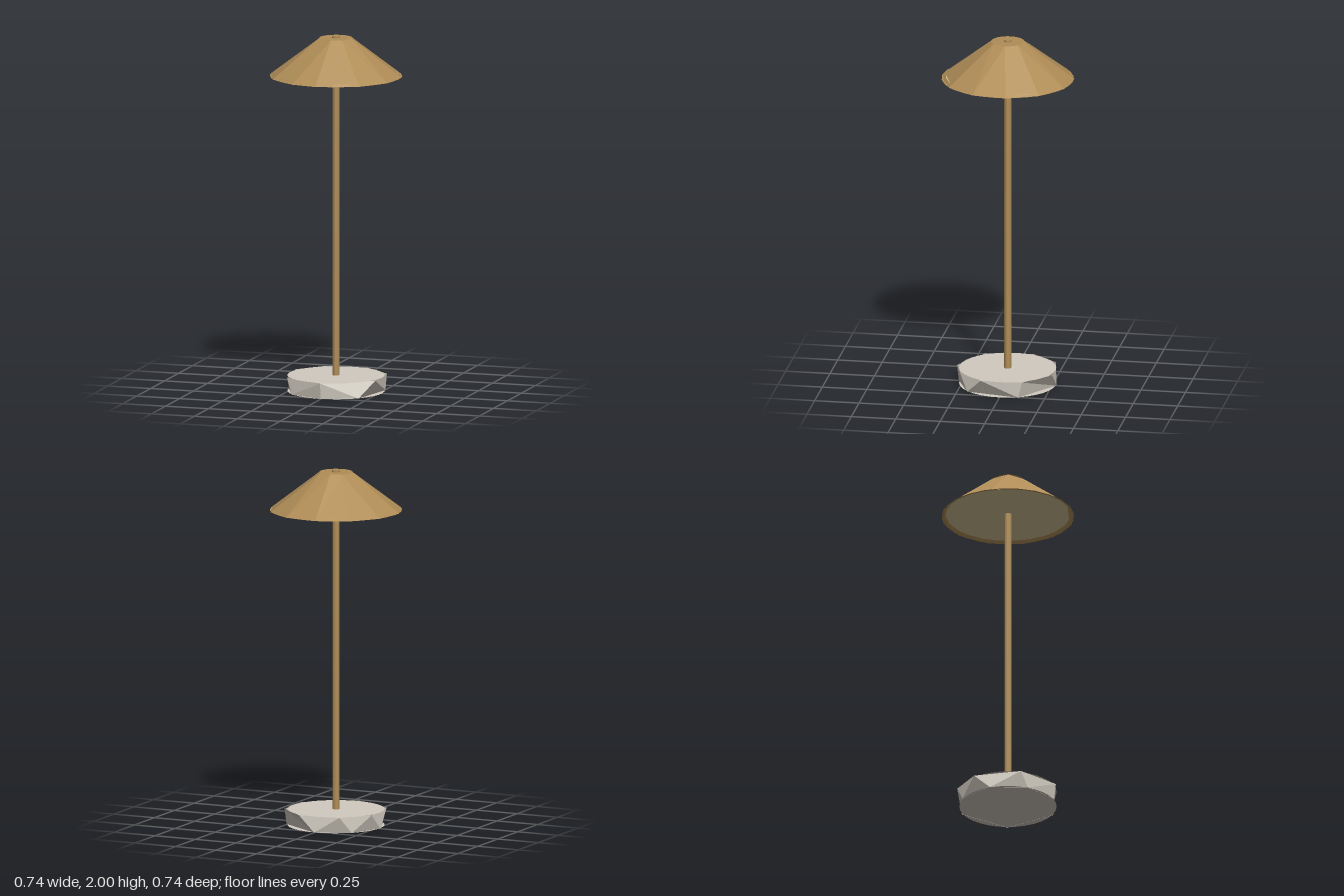
import * as THREE from 'three';

const material = (color) => new THREE.MeshStandardMaterial({
  color, roughness: 0.8, flatShading: true, side: THREE.DoubleSide,
});

// Faceted wall between two rings whose corners sit at different angles (degrees, ascending).
function facetedWall(lower, upper) {
  const points = [];
  const corner = (ring, i) => {
    const n = ring.angles.length;
    const a = THREE.MathUtils.degToRad(ring.angles[i % n]);
    return [ring.r * Math.cos(a), ring.y, ring.r * Math.sin(a)];
  };
  const angle = (ring, i) => {
    const n = ring.angles.length;
    return ring.angles[i % n] + 360 * Math.floor(i / n);
  };
  const nl = lower.angles.length, nu = upper.angles.length;
  let i = 0, j = 0;
  while (i < nl || j < nu) {
    const stepLower = j >= nu || (i < nl && angle(lower, i + 1) < angle(upper, j + 1));
    points.push(...corner(lower, i), ...corner(upper, j));
    if (stepLower) points.push(...corner(lower, ++i));
    else points.push(...corner(upper, ++j));
  }
  const geometry = new THREE.BufferGeometry();
  geometry.setAttribute('position', new THREE.Float32BufferAttribute(points, 3));
  geometry.computeVertexNormals();
  return geometry;
}

export function createModel() {
  const lamp = new THREE.Group();
  lamp.name = 'floorLamp';
  const brass = material(0xb08d57);
  const stone = material(0xd0cabf);
  const diffuserMat = material(0xd2c394);

  const add = (name, geometry, mat, y = 0) => {
    const mesh = new THREE.Mesh(geometry, mat);
    mesh.name = name;
    mesh.position.y = y;
    lamp.add(mesh);
    return mesh;
  };
  // Horizontal disc facing up or down
  const disc = (r, sides, up) =>
    new THREE.CircleGeometry(r, sides).rotateX(up ? -Math.PI / 2 : Math.PI / 2);

  // Base: round slab with rough-cut sides
  add('baseSide', facetedWall(
    { r: 0.275, y: 0, angles: [45, 90, 135, 180, 225, 270, 338] },
    { r: 0.285, y: 0.09, angles: [22, 90, 144, 200, 240, 290, 334] },
  ), stone);
  add('baseTop', disc(0.27, 32, true), stone, 0.09);
  add('baseBottom', disc(0.27, 32, false), stone, 0.001);

  // Pole, rising through the shade to a small tip
  add('pole', new THREE.CylinderGeometry(0.02, 0.02, 1.9, 12), brass, 1.04);
  add('poleTip', new THREE.CylinderGeometry(0.022, 0.022, 0.02, 20), brass, 1.99);

  // Shade: faceted cone with a flat cap
  add('shade', facetedWall(
    { r: 0.37, y: 1.775, angles: [-8, 22, 52, 90, 113, 143, 173, 203, 233, 262, 292, 322] },
    { r: 0.092, y: 1.99, angles: [0, 50, 90, 158, 223, 264, 313] },
  ), brass);
  add('shadeCap', disc(0.092, 32, true), brass, 1.99);

  // Lower rim and the short inner wall leading up to the diffuser
  const rim = [[0.368, 1.776], [0.358, 1.775], [0.345, 1.788]].map((p) => new THREE.Vector2(...p));
  add('shadeRim', new THREE.LatheGeometry(rim, 24), brass);
  add('diffuser', disc(0.346, 24, false), diffuserMat, 1.787);

  return lamp;
}
